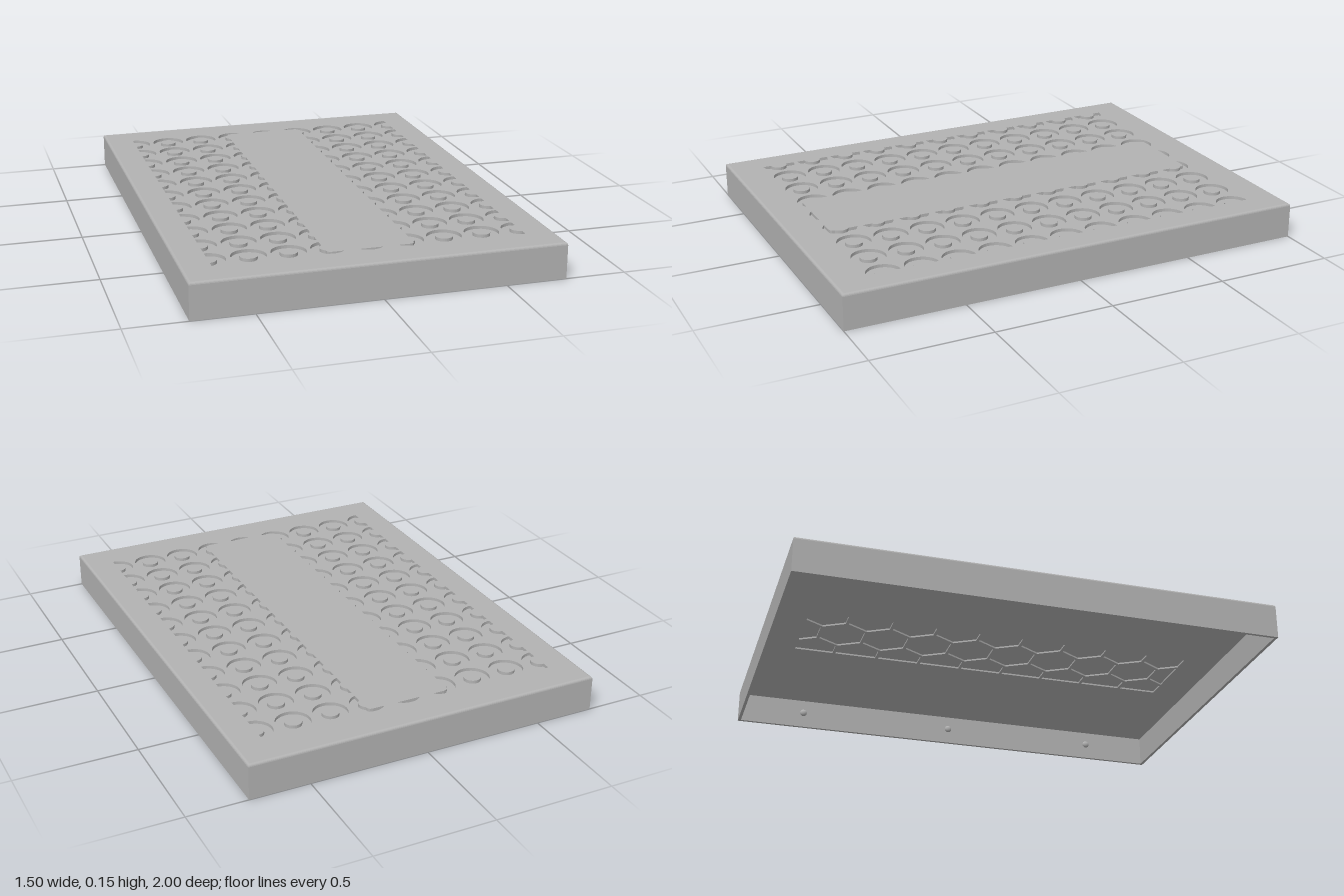
import * as THREE from 'three';

const W = 0.75, L = 1, TOP = 0.15, MID = 0.137, UNDER = 0.13; // half width, half length, levels
const WALL = 0.013, PITCH = 0.158, R = 0.07, r = 0.035;

const arc = (rad, from, to, n) => Array.from({ length: n + 1 }, (_, i) => {
  const a = from + (to - from) * i / n;
  return [rad * Math.cos(a), rad * Math.sin(a)];
});
const place = (pts, x, z, sx = 1, sz = 1) =>
  pts.map(([px, pz]) => new THREE.Vector2(x + sx * px, z + sz * pz));
const rect = (w, l) => new THREE.Shape(place([[-w, -l], [w, -l], [w, l], [-w, l]], 0, 0));

// Flat layer between two heights
function layer(shapes, y0, y1) {
  const g = new THREE.ExtrudeGeometry(shapes, { depth: y1 - y0, bevelEnabled: false });
  return g.rotateX(-Math.PI / 2).translate(0, y0, 0);
}

// Skirt wall: rectangular loops given as [inset, height]
function skirtGeometry(profile) {
  const corners = [[1, 1], [1, -1], [-1, -1], [-1, 1]];
  const pos = [];
  const point = ([inset, y], k) => {
    const [sx, sz] = corners[k % 4];
    return [sx * (W - inset), y, sz * (L - inset)];
  };
  for (let i = 0; i + 1 < profile.length; i++) {
    for (let k = 0; k < 4; k++) {
      const a = point(profile[i], k), b = point(profile[i], k + 1);
      const c = point(profile[i + 1], k + 1), d = point(profile[i + 1], k);
      pos.push(...a, ...b, ...c, ...a, ...c, ...d);
    }
  }
  const g = new THREE.BufferGeometry();
  g.setAttribute('position', new THREE.Float32BufferAttribute(pos, 3));
  g.computeVertexNormals();
  return g;
}

// Top layer with ring grooves, cut off around the plain centre panel
function topGeometry() {
  const plate = rect(W - 0.01, L - 0.01);
  const islands = [];
  const cut = pts => plate.holes.push(new THREE.Path(pts));
  const a = Math.acos(0.02 / R), b = Math.acos(0.02 / r), e = Math.asin(0.05 / R);
  const half = [...arc(R, -Math.PI / 2, Math.PI / 2, 18), ...arc(r, Math.PI / 2, -Math.PI / 2, 14)];
  const crescent = [...arc(R, -a, a, 14), ...arc(r, b, -b, 10)];
  const corner = [...arc(R, -a, Math.PI - e, 24), [0, 0.05], [0.012, 0.047], [0.018, 0.04],
    ...arc(r, b, -b, 10)];
  const slit = arc(R, e, Math.PI - e, 12);

  for (let row = -5; row <= 5; row++) {
    const z = row * PITCH;
    const end = Math.abs(row) === 5;
    for (const s of [-1, 1]) {
      cut(place(half, s * 4 * PITCH, z, -s));
      for (const col of [2, 3]) {
        const x = s * col * PITCH;
        cut(place(arc(R, 0, Math.PI * 2, 36).slice(0, -1), x, z));
        islands.push(new THREE.Shape(place(arc(r, 0, Math.PI * 2, 28).slice(0, -1), x, z)));
      }
      if (end) cut(place(corner, s * PITCH, z, s, Math.sign(row)));
      else cut(place(crescent, s * PITCH, z, s));
    }
    if (end) cut(place(slit, 0, z, 1, Math.sign(row)));
  }
  return layer([plate, ...islands], MID, TOP);
}

// Keep the part of a polygon where sign * p[axis] <= limit
function clip(pts, axis, sign, limit) {
  const out = [];
  pts.forEach((p, i) => {
    const q = pts[(i + 1) % pts.length];
    const dp = limit - sign * p[axis], dq = limit - sign * q[axis];
    if (dp >= 0) out.push(p);
    if (dp * dq < 0) {
      const t = dp / (dp - dq);
      out.push([p[0] + (q[0] - p[0]) * t, p[1] + (q[1] - p[1]) * t]);
    }
  });
  return out;
}

// Underside layer with a honeycomb of pockets below the centre panel
function underGeometry() {
  const plate = rect(W - WALL, L - WALL);
  const step = 0.19, hexR = 0.102;
  for (let col = -1; col <= 1; col++) {
    for (let k = -5; k <= 5; k++) {
      const cx = col * step * 0.866, cz = (k + (col === 0 ? 0.5 : 0)) * step;
      let pts = arc(hexR, 0, Math.PI * 2, 6).slice(0, -1).map(([x, z]) => [x + cx, z + cz]);
      for (const s of [-1, 1]) {
        pts = clip(pts, 0, s, 0.182);
        pts = clip(pts, 1, s, 0.836);
      }
      if (pts.length > 2) plate.holes.push(new THREE.Path(place(pts, 0, 0)));
    }
  }
  return layer(plate, UNDER, MID);
}

export function createModel() {
  const group = new THREE.Group();
  group.name = 'coverTray';
  const grey = new THREE.MeshStandardMaterial({ color: 0xb2b2b2 });
  grey.name = 'grey';
  const greyDouble = grey;
  greyDouble.side = THREE.DoubleSide;

  const add = (name, geometry) => {
    const mesh = new THREE.Mesh(geometry, grey);
    mesh.name = name;
    group.add(mesh);
    return mesh;
  };

  add('skirtWall', skirtGeometry([[WALL, UNDER], [WALL, 0], [0, 0], [0, TOP - 0.01],
    [0.001, TOP - 0.006], [0.003, TOP - 0.003], [0.006, TOP - 0.001], [0.01, TOP]]));
  add('groovedTop', topGeometry());
  add('plateCore', new THREE.PlaneGeometry(2 * (W - 0.01), 2 * (L - 0.01))
    .rotateX(-Math.PI / 2).translate(0, MID, 0));
  add('honeycombUnderside', underGeometry());

  // Snap bumps on the inside of the long walls
  for (const s of [-1, 1]) {
    for (const z of [-0.7, 0, 0.7]) {
      const bump = add('snapBump', new THREE.SphereGeometry(0.016, 16, 10));
      bump.position.set(s * (W - WALL), 0.07, z);
      bump.scale.x = 0.6;
    }
  }
  return group;
}
